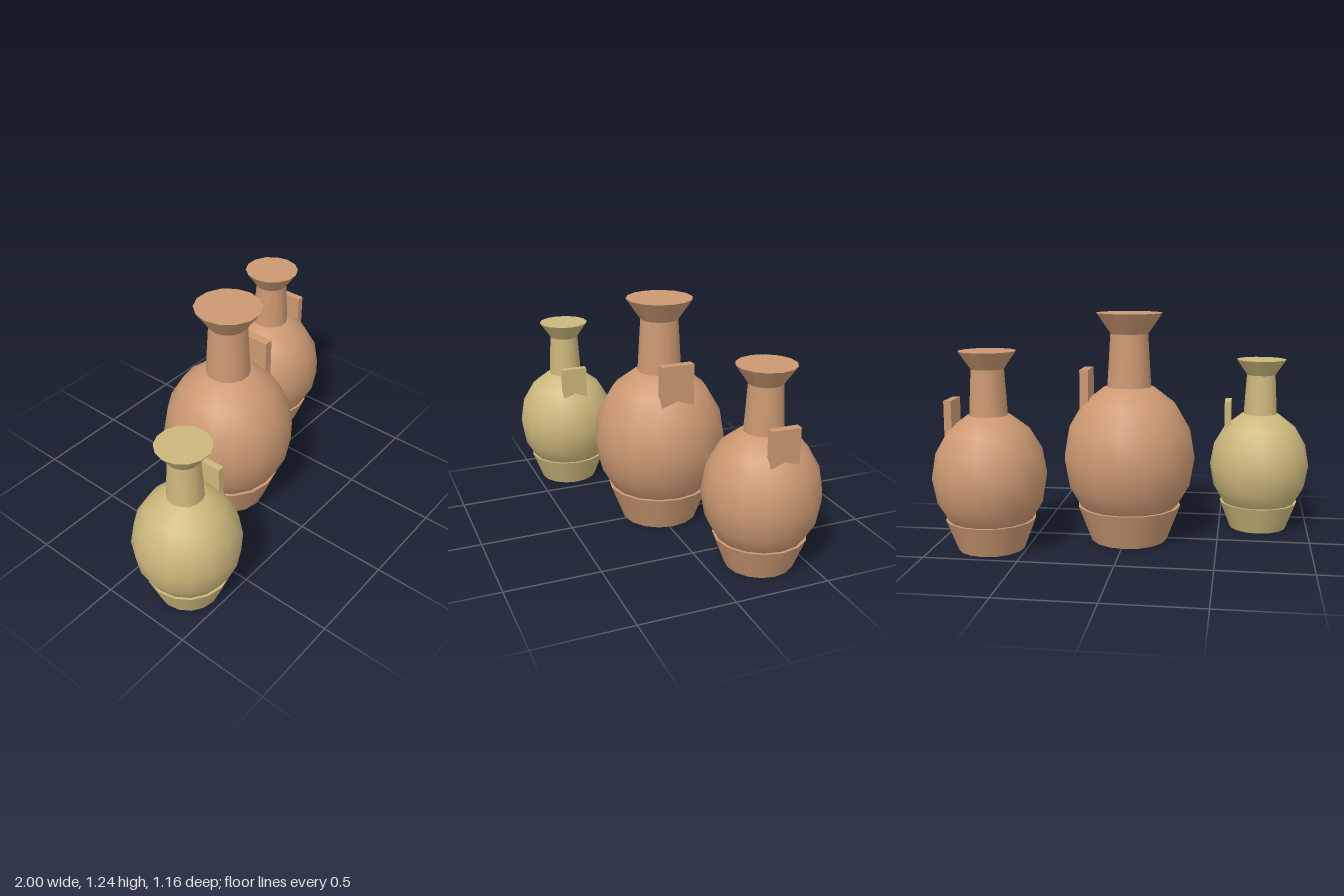
import * as THREE from 'three';

function material(name, hex) {
  const m = new THREE.MeshStandardMaterial({ color: hex });
  m.name = name;
  return m;
}

// Round section between two heights, with vertices on the x axis
function section(rTop, rBottom, y0, y1, sides) {
  const g = new THREE.CylinderGeometry(rTop, rBottom, y1 - y0, sides, 1, false, Math.PI / 2);
  return g.translate(0, (y0 + y1) / 2, 0);
}

function createJug(name, clay) {
  const jug = new THREE.Group();
  jug.name = name;
  const add = (part, geometry) => {
    const mesh = new THREE.Mesh(geometry, clay);
    mesh.name = part;
    jug.add(mesh);
  };

  // Foot, flaring up to a small ledge around the belly
  add('foot', section(0.282, 0.208, 0, 0.195, 16));

  // Belly: slightly tall faceted sphere
  add('belly', new THREE.SphereGeometry(0.357, 16, 8).scale(1, 1.148, 1).translate(0, 0.464, 0));

  // Neck and flared mouth
  add('neck', section(0.102, 0.122, 0.8, 1.13, 14));
  add('rim', section(0.178, 0.102, 1.13, 1.24, 14));

  // Upright slab handle sunk into the shoulder
  add('handle', new THREE.BoxGeometry(0.047, 0.32, 0.18).translate(0.232, 0.78, 0));
  return jug;
}

export function createModel() {
  const model = new THREE.Group();
  model.name = 'jugs';
  const terracotta = material('terracotta', 0xcc9972);
  const ochre = material('ochre', 0xccb87c);

  // name, clay, x, z, scale
  const jugs = [
    ['largeJug', terracotta, -0.015, -0.022, 1],
    ['mediumJug', terracotta, 0.692, -0.28, 0.85],
    ['smallJug', ochre, -0.722, 0.3, 0.78],
  ];
  for (const [name, clay, x, z, s] of jugs) {
    const jug = createJug(name, clay);
    jug.position.set(x, 0, z);
    jug.scale.setScalar(s);
    model.add(jug);
  }
  return model;
}
